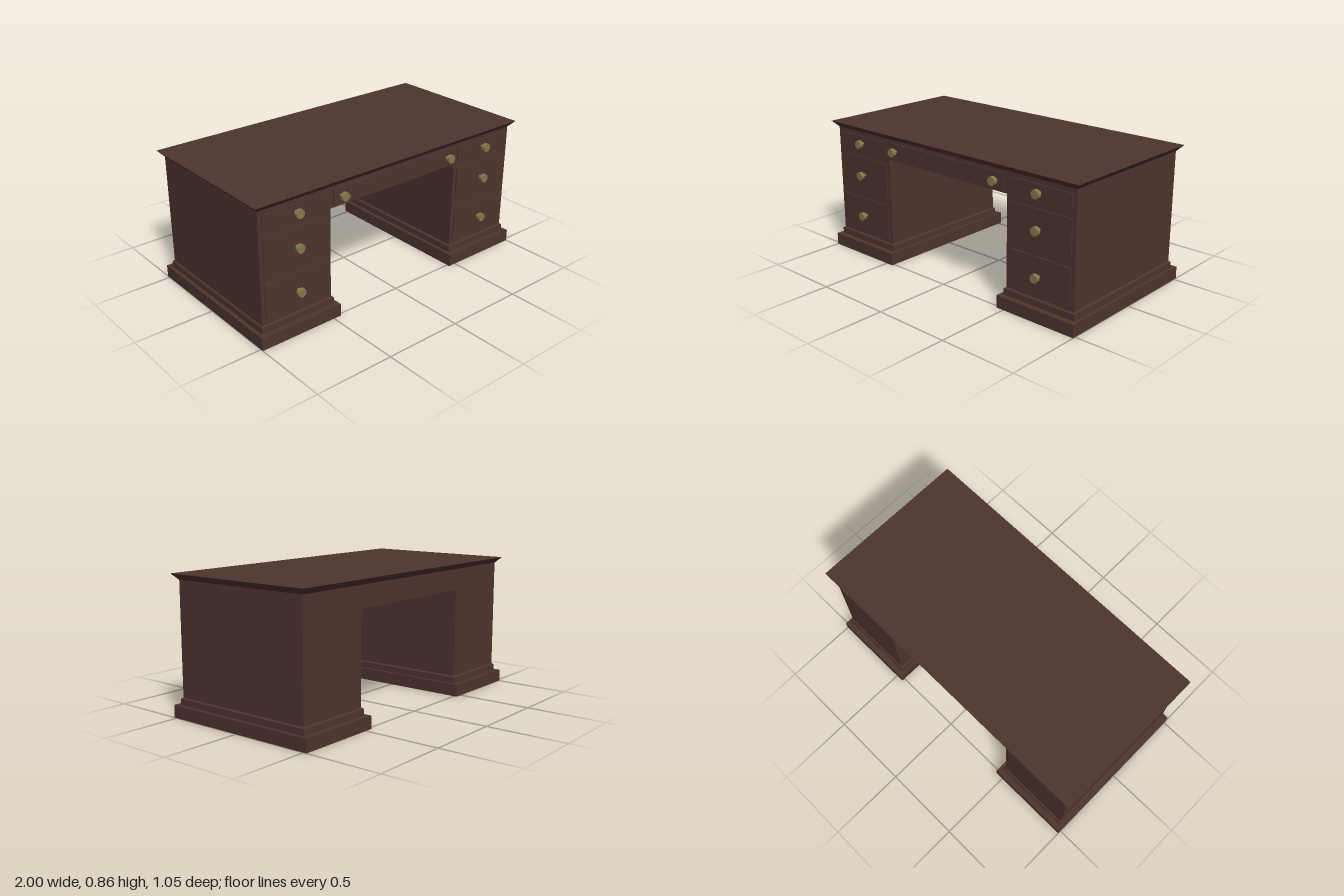
import * as THREE from 'three';

const wood = new THREE.MeshStandardMaterial({ color: 0x4e342e, flatShading: true });
const brass = new THREE.MeshStandardMaterial({ color: 0x857a4a, flatShading: true });

// Block between two corners; flare pushes the top face outward (or inward if negative).
function block(parent, name, [x0, x1], [y0, y1], [z0, z1], flare = 0) {
  const w = x1 - x0, h = y1 - y0, d = z1 - z0;
  const geo = new THREE.BoxGeometry(w, h, d);
  const p = geo.attributes.position;
  for (let i = 0; i < p.count; i++) {
    if (p.getY(i) > 0) {
      p.setX(i, p.getX(i) + Math.sign(p.getX(i)) * flare);
      p.setZ(i, p.getZ(i) + Math.sign(p.getZ(i)) * flare);
    }
  }
  geo.computeVertexNormals();
  const mesh = new THREE.Mesh(geo, wood);
  mesh.name = name;
  mesh.position.set((x0 + x1) / 2, (y0 + y1) / 2, (z0 + z1) / 2);
  parent.add(mesh);
}

// Round pull: thin stem with a wide flat head.
function knob(parent, x, y) {
  const group = new THREE.Group();
  group.name = 'knob';
  for (const [name, radius, z0, z1] of [['knobStem', 0.011, 0.475, 0.504], ['knobHead', 0.027, 0.502, 0.5245]]) {
    const geo = new THREE.CylinderGeometry(radius, radius, z1 - z0, 10).rotateX(Math.PI / 2);
    const mesh = new THREE.Mesh(geo, brass);
    mesh.name = name;
    mesh.position.z = (z0 + z1) / 2;
    group.add(mesh);
  }
  group.position.set(x, y, 0);
  parent.add(group);
}

export function createModel() {
  const desk = new THREE.Group();
  desk.name = 'desk';

  // Top with an undercut edge
  block(desk, 'desktop', [-0.967, 0.967], [0.819, 0.855], [-0.476, 0.475], 0.033);

  // Section bridging the kneehole, with the wide drawer
  block(desk, 'kneeholeBridge', [-0.486, 0.486], [0.685, 0.82], [-0.474, 0.4715]);
  block(desk, 'centerDrawer', [-0.465, 0.465], [0.698, 0.8], [0.47, 0.48]);

  // Two mirrored pedestals on stepped plinths
  const drawers = [
    { y: [0.152, 0.375], knobY: 0.263 },
    { y: [0.427, 0.652], knobY: 0.538 },
    { y: [0.704, 0.792], knobY: 0.747 },
  ];
  for (const side of [-1, 1]) {
    const pedestal = new THREE.Group();
    pedestal.name = side > 0 ? 'leftPedestal' : 'rightPedestal';
    const span = (a, b) => (side > 0 ? [a, b] : [-b, -a]);
    block(pedestal, 'plinth', span(0.45, 1), [0, 0.078], [-0.521, 0.518]);
    block(pedestal, 'plinthStep', span(0.473, 0.977), [0.078, 0.116], [-0.485, 0.4825]);
    block(pedestal, 'plinthBevel', span(0.473, 0.977), [0.116, 0.124], [-0.485, 0.4825], -0.01);
    block(pedestal, 'cabinet', span(0.486, 0.967), [0.12, 0.82], [-0.474, 0.4715]);
    for (const { y, knobY } of drawers) {
      block(pedestal, 'drawerFront', span(0.512, 0.942), y, [0.47, 0.48]);
      knob(pedestal, side * 0.725, knobY);
    }
    desk.add(pedestal);
    knob(desk, side * 0.413, 0.752);
  }
  return desk;
}
